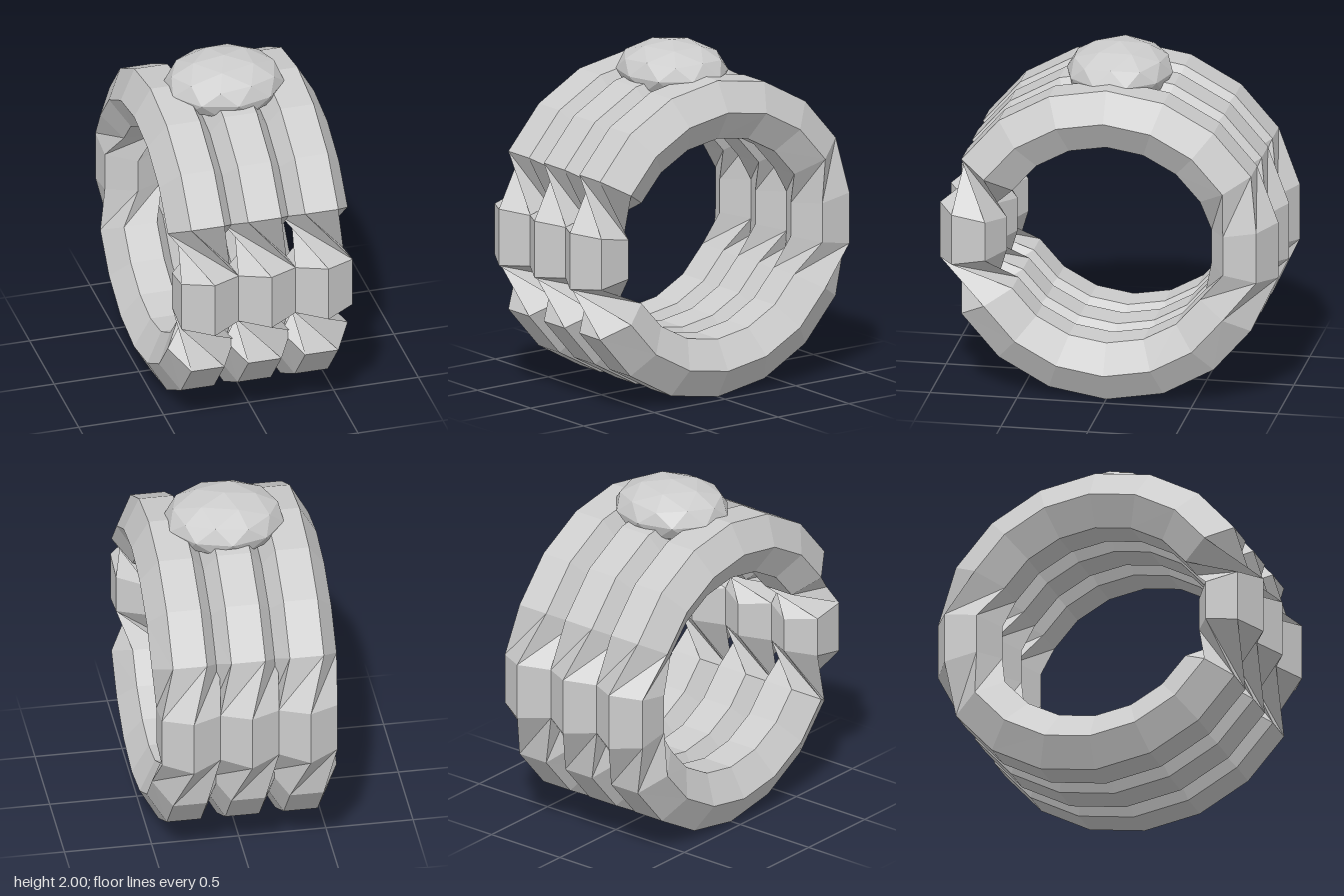
import * as THREE from 'three';

const SEGMENTS = 18, SIDES = 6;
const CENTER_Y = 0.925, RADIUS = 0.755, DEPTH = 1.05, TUBE = 0.195;

// Twist of the hexagonal section along the band: quarter turns at front and back
function twist(k) {
  if (k <= 3 || k >= 15) return 0;
  if (k >= 6 && k <= 12) return -Math.PI;
  return -Math.PI / 2;
}

// One closed band: hexagonal sections swept round a slightly elliptical loop
function bandGeometry() {
  const positions = [], index = [];
  for (let k = 0; k < SEGMENTS; k++) {
    const t = (k / SEGMENTS) * Math.PI * 2;
    for (let i = 0; i < SIDES; i++) {
      const a = (i / SIDES) * Math.PI * 2 + twist(k);
      const out = TUBE * Math.sin(a);
      positions.push(
        TUBE * Math.cos(a),
        CENTER_Y + (RADIUS + out) * Math.cos(t),
        (RADIUS * DEPTH + out) * Math.sin(t)
      );
      const j = (i + 1) % SIDES, next = (k + 1) % SEGMENTS;
      const a0 = k * SIDES + i, a1 = k * SIDES + j;
      const b0 = next * SIDES + i, b1 = next * SIDES + j;
      index.push(a0, a1, b0, a1, b1, b0);
    }
  }
  const indexed = new THREE.BufferGeometry();
  indexed.setAttribute('position', new THREE.Float32BufferAttribute(positions, 3));
  indexed.setIndex(index);
  const g = indexed.toNonIndexed();
  g.computeVertexNormals();
  return g;
}

export function createModel() {
  const model = new THREE.Group();
  model.name = 'ring';
  const metal = new THREE.MeshStandardMaterial({ color: 0xcccccc, flatShading: true });
  metal.name = 'light grey';

  // Three twisted bands side by side
  const band = bandGeometry();
  ['rightBand', 'middleBand', 'leftBand'].forEach((name, n) => {
    const mesh = new THREE.Mesh(band, metal);
    mesh.name = name;
    mesh.position.x = (n - 1) * 0.335;
    model.add(mesh);
  });

  // Faceted oval stone, with a corner at its crown
  const stone = new THREE.IcosahedronGeometry(1, 1);
  stone.rotateX(-Math.atan2((1 + Math.sqrt(5)) / 2, 1));
  stone.rotateY(-Math.PI / 2);
  stone.scale(0.345, 0.17, 0.305);
  stone.computeVertexNormals();
  const gem = new THREE.Mesh(stone, metal);
  gem.name = 'stone';
  gem.position.y = 1.83;
  model.add(gem);

  return model;
}
